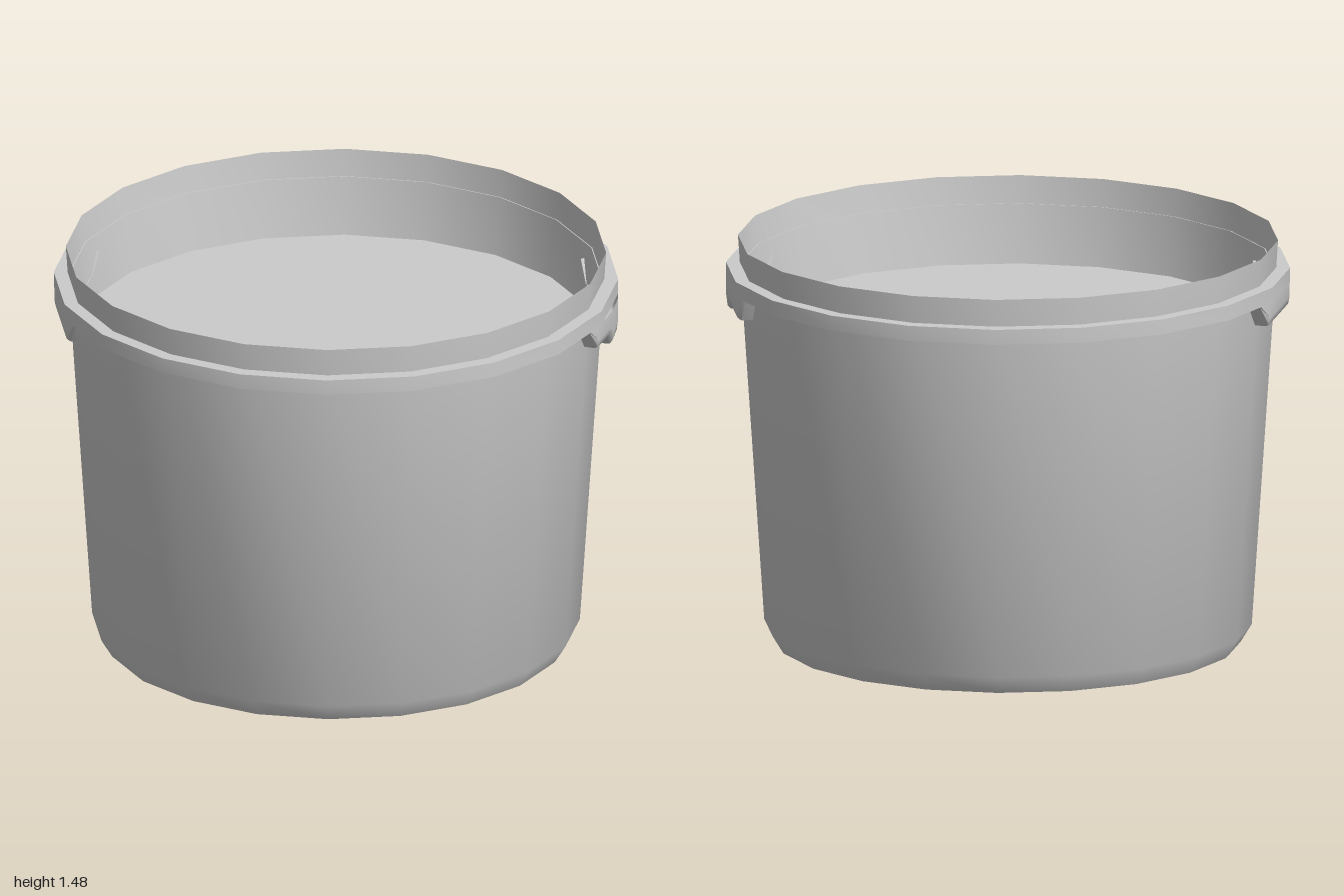
import * as THREE from 'three';
import { toCreasedNormals } from 'three/addons/utils/BufferGeometryUtils.js';

const SIDES = 20;
const START = THREE.MathUtils.degToRad(10.6);
const RING_R = 1.009, RING_BOTTOM = 1.32, RING_TOP = 1.375;

const material = new THREE.MeshStandardMaterial({ color: 0xcccccc, side: THREE.DoubleSide });

// Turned part with the shared facet layout
function turned(name, profile) {
  const points = profile.map(([r, y]) => new THREE.Vector2(r, y));
  const geometry = new THREE.LatheGeometry(points, SIDES, START);
  const mesh = new THREE.Mesh(toCreasedNormals(geometry, 0.7), material);
  mesh.name = name;
  return mesh;
}

// Radius of the faceted ring at an angle (degrees, from +x towards -z)
function ringRadius(deg) {
  const step = 360 / SIDES;
  const local = (((deg - 10.6) % step) + step) % step - step / 2;
  const rad = THREE.MathUtils.degToRad;
  return RING_R * Math.cos(rad(step / 2)) / Math.cos(rad(local));
}

// Skirt hanging below the ring; stations are [angle, bottom height, least radius]
function lug(name, stations) {
  const positions = [], index = [], rows = 5;
  stations.forEach(([deg, bottom, least = 0]) => {
    const a = THREE.MathUtils.degToRad(deg);
    const facet = ringRadius(deg);
    const outer = Math.max(facet, least) - 0.002;
    const wall = facet * 0.925;
    const drop = RING_BOTTOM - bottom;
    const section = [
      [outer, RING_BOTTOM + 0.005],
      [outer, RING_BOTTOM - drop * 0.6],
      [outer - 0.005, bottom + drop * 0.1],
      [outer - 0.016, bottom],
      [wall, bottom],
    ];
    section.forEach(([r, y]) => positions.push(r * Math.cos(a), y, -r * Math.sin(a)));
  });
  for (let i = 0; i < stations.length - 1; i++) {
    for (let j = 0; j < rows - 1; j++) {
      const p = i * rows + j, q = p + rows;
      index.push(p, p + 1, q, p + 1, q + 1, q);
    }
  }
  const geometry = new THREE.BufferGeometry();
  geometry.setAttribute('position', new THREE.Float32BufferAttribute(positions, 3));
  geometry.setIndex(index);
  const mesh = new THREE.Mesh(toCreasedNormals(geometry, 0.9), material);
  mesh.name = name;
  return mesh;
}

export function createModel() {
  const group = new THREE.Group();
  group.name = 'bucket';

  // Tapered wall with chamfered foot, thin lip and raised inner floor
  group.add(turned('body', [
    [0, 0], [0.832, 0], [0.872, 0.065], [0.966, 1.475], [0.927, 1.16], [0, 1.16],
  ]));

  // Square collar around the rim
  group.add(turned('collar', [
    [0.95, RING_BOTTOM], [RING_R, RING_BOTTOM], [RING_R, RING_TOP], [0.95, RING_TOP],
  ]));

  // Left lug with a small tab on its lower edge
  group.add(lug('leftLug', [
    [6.3, 1.317], [9.8, 1.235], [10.6, 1.235], [16.9, 1.235, 1.012], [19.3, 1.19, 1.014],
    [25.5, 1.19, 1.014], [28, 1.235, 1.01], [28.6, 1.235], [46.6, 1.235], [47.2, 1.235], [49.8, 1.317],
  ]));

  // Plain lug on the opposite side
  const rightLug = lug('rightLug', [
    [6.3, 1.317], [9.8, 1.235], [10.6, 1.235], [28.6, 1.235], [46.6, 1.235], [47.2, 1.235], [50.5, 1.317],
  ]);
  rightLug.rotation.y = Math.PI;
  group.add(rightLug);

  return group;
}
